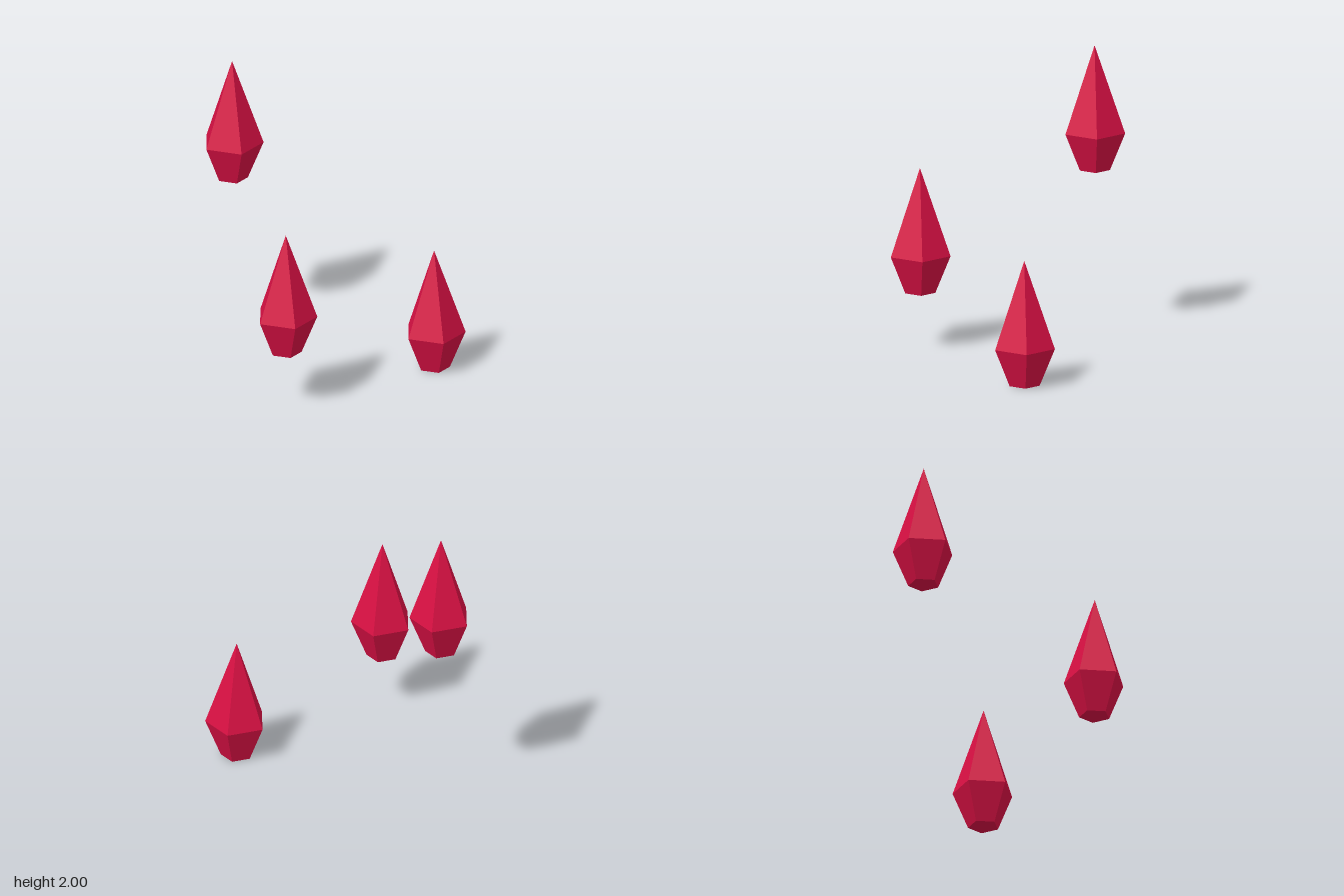
import * as THREE from 'three';

export function createModel() {
  const group = new THREE.Group();
  group.name = 'crystals';

  const crimson = new THREE.MeshStandardMaterial({ color: 0xd81043 });
  crimson.name = 'crimson';

  // Five-sided crystal: flat base, widest ring, pointed tip
  const profile = [[0, 0], [0.107, 0], [0.213, 0.262], [0, 0.865]]
    .map(([r, y]) => new THREE.Vector2(r, y));
  const geometry = new THREE.LatheGeometry(profile, 5, -0.075).toNonIndexed();
  geometry.computeVertexNormals(); // faceted

  // Three floating copies at different heights
  const places = {
    upperCrystal: [-0.663, 1.135, 0.067],
    middleCrystal: [0.503, 0.4, 0.567],
    lowerCrystal: [0.668, 0, -0.6],
  };
  for (const [name, position] of Object.entries(places)) {
    const crystal = new THREE.Mesh(geometry, crimson);
    crystal.name = name;
    crystal.position.set(...position);
    group.add(crystal);
  }
  return group;
}
